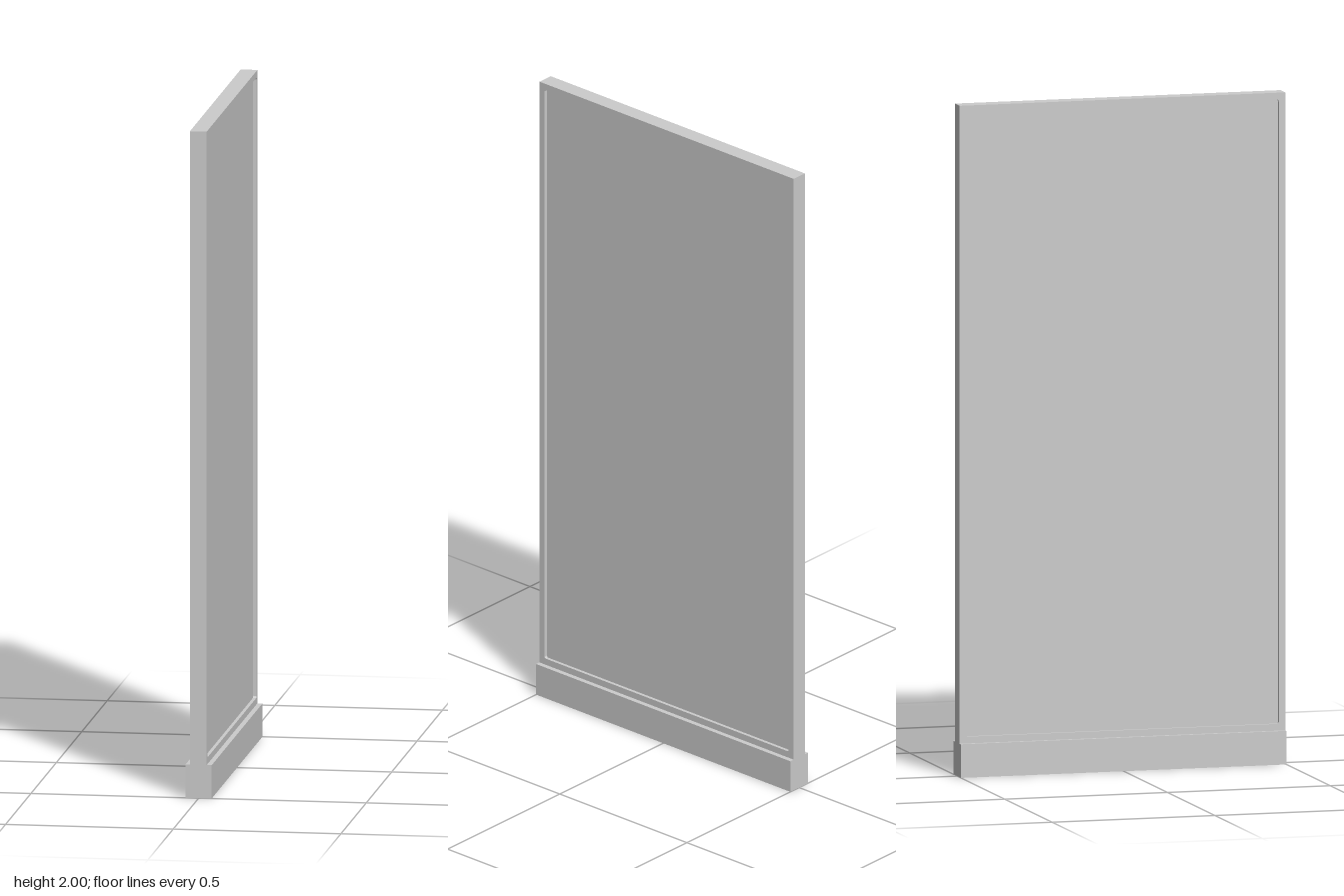
import * as THREE from 'three';

const material = new THREE.MeshStandardMaterial({ color: 0xcccccc, side: THREE.DoubleSide, flatShading: true });

const HALF = 0.5;              // half length along z
const BASE_X = 0.039, BASE_Y = 0.1;
const LEFT_X = 0.024, RIGHT_X = -0.026, TOP = 2;
const LIP = 0.02, RECESS = 0.01;

function add(group, name, geometry) {
  const mesh = new THREE.Mesh(geometry, material);
  mesh.name = name;
  group.add(mesh);
  return mesh;
}

// Sheet following a path of [x, y] points, stretched along z
function sheet(points) {
  const pos = [];
  for (let i = 0; i < points.length - 1; i++) {
    const [ax, ay] = points[i], [bx, by] = points[i + 1];
    pos.push(ax, ay, HALF, ax, ay, -HALF, bx, by, -HALF);
    pos.push(ax, ay, HALF, bx, by, -HALF, bx, by, HALF);
  }
  const g = new THREE.BufferGeometry();
  g.setAttribute('position', new THREE.Float32BufferAttribute(pos, 3));
  g.computeVertexNormals();
  return g;
}

// Rectangle with slightly rounded corners
function roundedRect(x0, y0, x1, y1, r) {
  const s = new THREE.Shape();
  s.absarc(x1 - r, y0 + r, r, -Math.PI / 2, 0);
  s.absarc(x1 - r, y1 - r, r, 0, Math.PI / 2);
  s.absarc(x0 + r, y1 - r, r, Math.PI / 2, Math.PI);
  s.absarc(x0 + r, y0 + r, r, Math.PI, Math.PI * 1.5);
  s.closePath();
  return s;
}

// Walls running inward from the edge of an outline
function jamb(points, depth) {
  const pos = [];
  points.forEach((a, i) => {
    const b = points[(i + 1) % points.length];
    pos.push(a.x, a.y, 0, b.x, b.y, -depth, b.x, b.y, 0);
    pos.push(a.x, a.y, 0, a.x, a.y, -depth, b.x, b.y, -depth);
  });
  const g = new THREE.BufferGeometry();
  g.setAttribute('position', new THREE.Float32BufferAttribute(pos, 3));
  g.computeVertexNormals();
  return g;
}

export function createModel() {
  const model = new THREE.Group();
  model.name = 'partition';

  // Base channel, open underneath
  add(model, 'baseLeft', sheet([[BASE_X, 0], [BASE_X, BASE_Y], [LEFT_X, BASE_Y]]));
  add(model, 'baseRight', sheet([[RIGHT_X, BASE_Y], [-BASE_X, BASE_Y], [-BASE_X, 0]]));
  add(model, 'topEdge', sheet([[LEFT_X, TOP], [RIGHT_X, TOP]]));

  // Stepped end plates, front and back
  const profile = new THREE.Shape([
    [-BASE_X, 0], [BASE_X, 0], [BASE_X, BASE_Y], [LEFT_X, BASE_Y],
    [LEFT_X, TOP], [RIGHT_X, TOP], [RIGHT_X, BASE_Y], [-BASE_X, BASE_Y],
  ].map(([x, y]) => new THREE.Vector2(x, y)));
  add(model, 'frontEnd', new THREE.ShapeGeometry(profile)).position.z = HALF;
  const back = new THREE.ShapeGeometry(profile);
  back.setIndex(Array.from(back.index.array).reverse());
  back.computeVertexNormals();
  add(model, 'backEnd', back).position.z = -HALF;

  // Rim and recessed panel on both broad sides
  for (const [name, x, s] of [['left', LEFT_X, 1], ['right', RIGHT_X, -1]]) {
    const side = new THREE.Group();
    side.name = name + 'Side';
    const opening = roundedRect(-HALF + LIP, BASE_Y + LIP, HALF - LIP, TOP - LIP, 0.006);
    const rim = new THREE.Shape([
      new THREE.Vector2(-HALF, BASE_Y), new THREE.Vector2(HALF, BASE_Y),
      new THREE.Vector2(HALF, TOP), new THREE.Vector2(-HALF, TOP),
    ]);
    rim.holes.push(opening);
    add(side, name + 'Rim', new THREE.ShapeGeometry(rim, 4));
    add(side, name + 'Jamb', jamb(opening.getPoints(4), RECESS));
    add(side, name + 'Panel', new THREE.ShapeGeometry(opening, 4)).position.z = -RECESS;
    side.rotation.y = s * Math.PI / 2;
    side.position.x = x;
    model.add(side);
  }
  return model;
}
